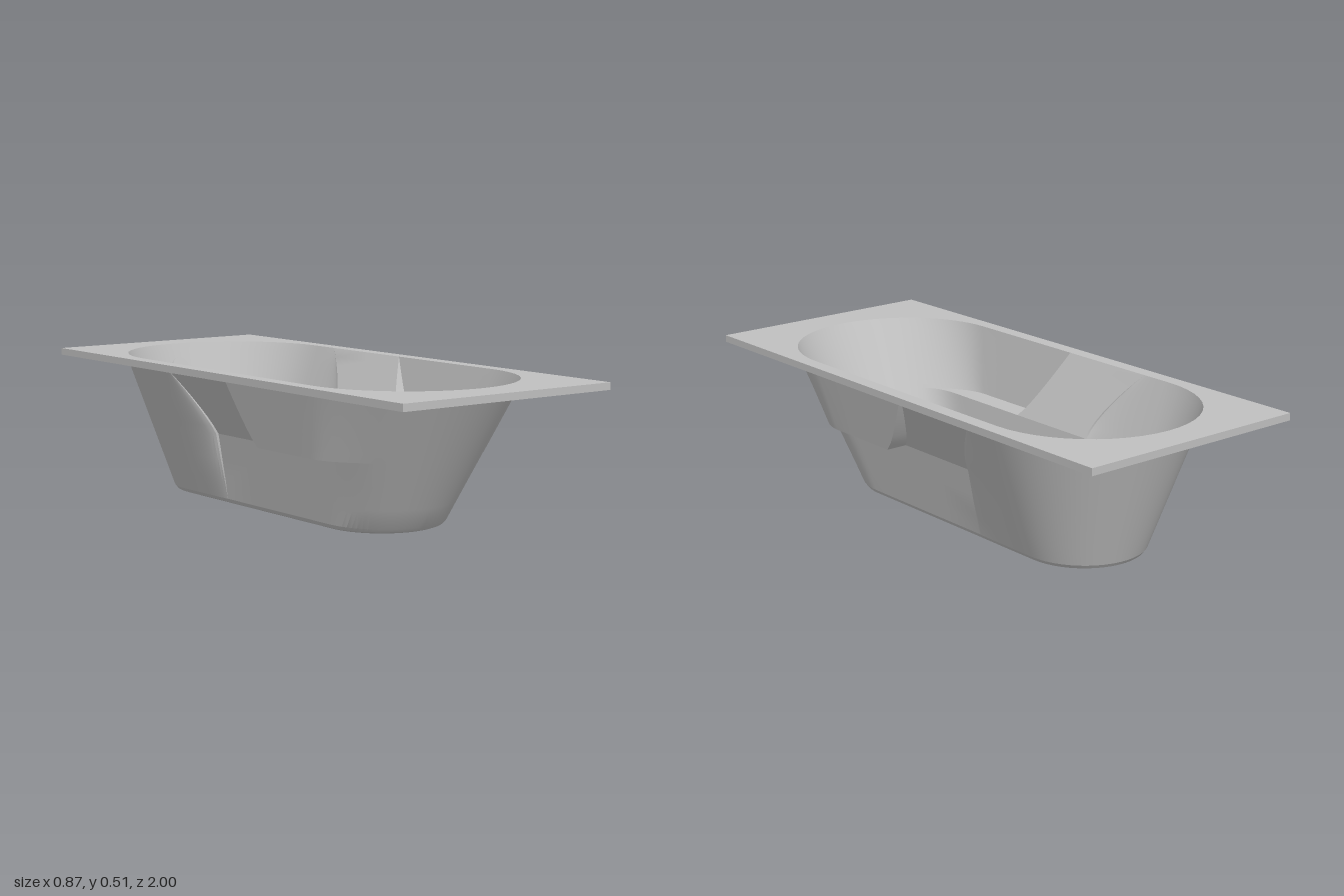
import * as THREE from 'three';
import { toCreasedNormals } from 'three/addons/utils/BufferGeometryUtils.js';

const FLOOR = 0.014, LEDGE = 0.27, TOP = 0.512;
const lerp = THREE.MathUtils.lerp;

// One ring of half the basin (+x side), from the back centre to the front centre.
// upper = wall above the armrest; inset shrinks the ring; d moves it outwards.
function ring(y, upper, inset, d) {
  const o = d - inset, pts = [];
  const f = (y - FLOOR) / (TOP - FLOOR);
  const g = Math.max(0, (y - LEDGE) / (TOP - LEDGE));
  const low = Math.min(1, (y - FLOOR) / (LEDGE - FLOOR));
  const cone = 0.21 + 0.173 * f + o;
  const panel = (g > 0 ? lerp(0.255, 0.383, g) : lerp(0.21, 0.255, low)) + o;
  const arm = upper ? lerp(0.335, 0.383, g) + o : panel;
  const zBack = -0.49 - 0.01 * f;
  const zCrease = -0.22 - 0.16 * Math.pow(g, 1.5) + d;
  const zArm = 0.14 - 0.14 * Math.pow(g, 0.8) - d;
  const zFront = 0.365 + 0.125 * f, rFront = 0.21 + 0.165 * f + o;

  // round back end
  for (let i = 0; i <= 12; i++) {
    const a = (i / 12) * Math.PI / 2;
    pts.push([cone * Math.sin(a), zBack - cone * Math.cos(a)]);
  }
  // bowl closing on the flat side panel
  for (let i = 1; i <= 10; i++) {
    const s = Math.sin((i / 10) * Math.PI / 2);
    pts.push([panel + (cone - panel) * Math.sqrt(Math.max(0, 1 - Math.pow(s, 2.5))), lerp(zBack, zCrease, s)]);
  }
  // flat side panel
  pts.push([panel, lerp(zCrease, zArm, 0.5)], [panel, zArm]);
  // armrest recess
  for (let i = 0; i <= 3; i++) pts.push([arm, lerp(zArm, zFront, i / 3)]);
  // round front end, where the armrest fades out
  for (let i = 1; i <= 18; i++) {
    const a = (i / 18) * Math.PI / 2;
    const k = THREE.MathUtils.smoothstep(a, 0, 0.87);
    pts.push([lerp(arm, cone, k) * Math.cos(a), zFront + rFront * Math.sin(a)]);
  }
  pts[pts.length - 1][0] = 0;
  return pts.map(([x, z]) => new THREE.Vector3(x, y - d, z));
}

// Skin of the basin, mirrored over x = 0
function basinSkin(d, outside) {
  const rings = [
    ring(FLOOR, false, 0.016, d),
    ring(FLOOR + 0.005, false, 0.005, d),
    ring(FLOOR + 0.018, false, 0, d),
    ring(0.1, false, 0, d), ring(0.18, false, 0, d), ring(LEDGE, false, 0, d),
  ];
  for (let i = 0; i <= 8; i++) rings.push(ring(lerp(LEDGE, TOP, i / 8), true, 0, d));
  // floor runs to the centre line
  rings.unshift(rings[0].map(p => new THREE.Vector3(0, p.y, p.z)));

  const pos = [], ab = new THREE.Vector3(), ac = new THREE.Vector3();
  const tri = (a, b, c) => {
    if (ab.subVectors(b, a).cross(ac.subVectors(c, a)).length() < 1e-9) return;
    for (const side of [1, -1]) {
      const order = (side > 0) !== outside ? [a, b, c] : [a, c, b];
      for (const p of order) pos.push(p.x * side, p.y, p.z);
    }
  };
  for (let r = 0; r < rings.length - 1; r++) {
    const A = rings[r], B = rings[r + 1];
    for (let s = 0; s < A.length - 1; s++) {
      tri(A[s], A[s + 1], B[s + 1]);
      tri(A[s], B[s + 1], B[s]);
    }
  }
  const geo = new THREE.BufferGeometry();
  geo.setAttribute('position', new THREE.Float32BufferAttribute(pos, 3));
  return toCreasedNormals(geo, 0.28);
}

export function createModel() {
  const model = new THREE.Group();
  model.name = 'bathtub';
  const enamel = new THREE.MeshStandardMaterial({ color: 0xc0c0c0 });
  enamel.name = 'greyEnamel';
  const add = (name, geo, x = 0, y = 0, z = 0) => {
    const mesh = new THREE.Mesh(geo, enamel);
    mesh.name = name;
    mesh.position.set(x, y, z);
    model.add(mesh);
    return mesh;
  };

  // basin
  add('basinInside', basinSkin(0, false));
  add('basinOutside', basinSkin(0.006, true));

  // rim plate with the basin opening
  const W = 0.434, plate = 0.008;
  const shape = new THREE.Shape([[-W, -1], [W, -1], [W, 1], [-W, 1]].map(p => new THREE.Vector2(...p)));
  const half = ring(TOP, true, 0, 0).map(p => new THREE.Vector2(p.x, -p.z));
  const other = half.slice(1, -1).reverse().map(p => new THREE.Vector2(-p.x, p.y));
  const outline = [...half, ...other].filter((p, i, all) => i === 0 || p.distanceTo(all[i - 1]) > 1e-5);
  shape.holes.push(new THREE.Path(outline));
  const rim = new THREE.ExtrudeGeometry(shape, { depth: plate, bevelEnabled: false });
  rim.rotateX(-Math.PI / 2);
  add('rim', rim, 0, TOP - plate, 0);

  // lip hanging under the rim edge
  const lip = 0.025, t = 0.008;
  for (const s of [1, -1]) {
    add('sideLip', new THREE.BoxGeometry(t, lip, 2), s * (W - t / 2), TOP - lip / 2, 0);
    add('endLip', new THREE.BoxGeometry(2 * W, lip, t), 0, TOP - lip / 2, s * (1 - t / 2));
  }

  // drain cover and the collar under it
  add('drainCover', new THREE.CylinderGeometry(0.032, 0.034, 0.006, 32), 0, FLOOR + 0.003, -0.61);
  const collar = [[0.018, 0.009], [0.018, 0], [0.03, 0], [0.034, 0.009]].map(p => new THREE.Vector2(...p));
  add('drainCollar', toCreasedNormals(new THREE.LatheGeometry(collar, 32), 0.5), 0, 0, -0.61);

  // overflow cover on the sloping back wall
  const overflow = add('overflowCover', new THREE.CylinderGeometry(0.036, 0.038, 0.012, 32), 0, 0.425, -0.849);
  overflow.rotation.x = Math.PI / 2 - 0.355;

  return model;
}
